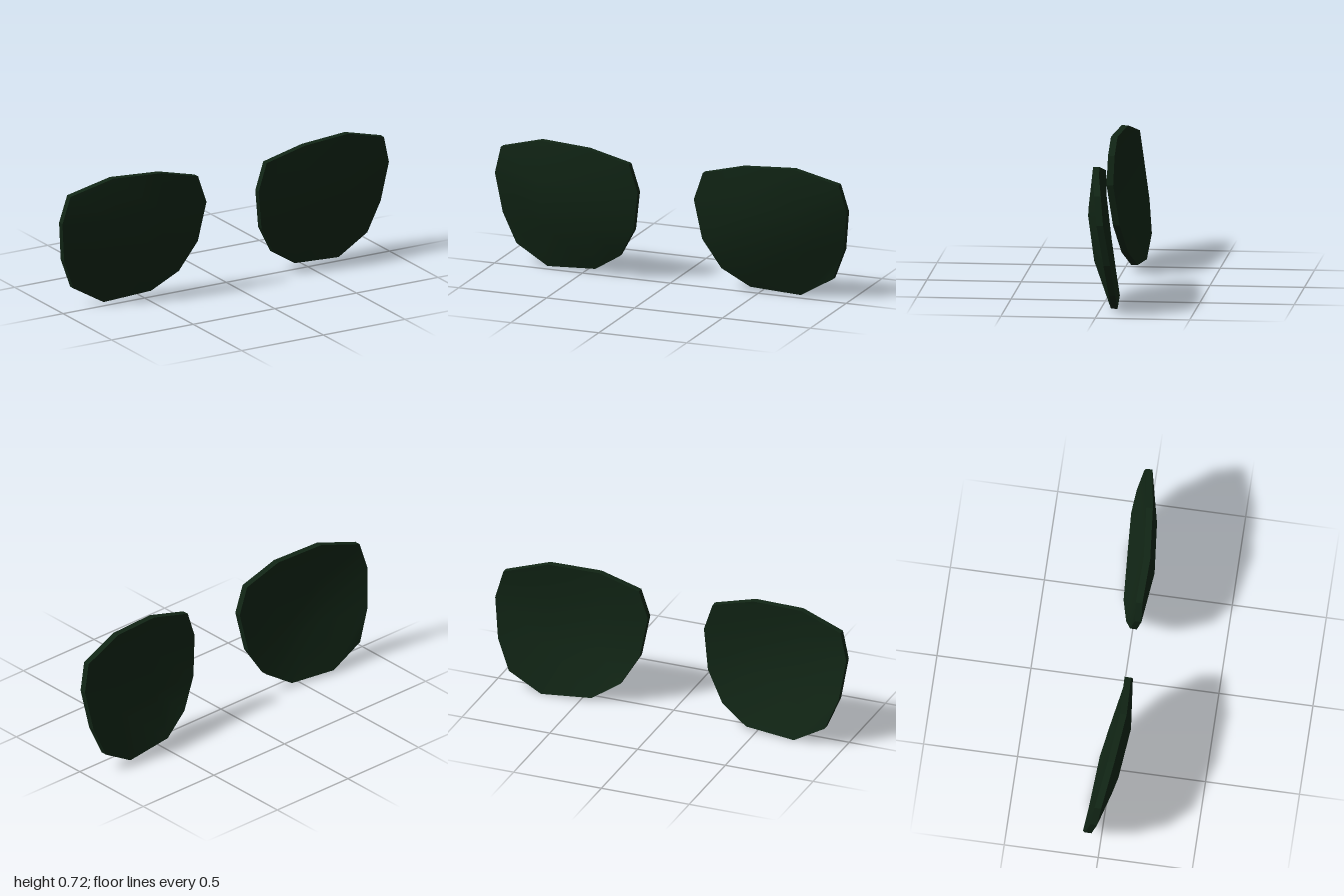
import * as THREE from 'three';

// Lens control grid, rows from top to bottom, inner to outer edge: [x, y, front z]
const GRID = [
  [[0.21, 0.65, 0.063], [0.44, 0.71, 0.072], [0.72, 0.72, 0.046], [0.96, 0.65, 0.01]],
  [[0.16, 0.5, 0.065], [0.44, 0.5, 0.095], [0.72, 0.5, 0.068], [1.0, 0.5, -0.006]],
  [[0.195, 0.28, 0.035], [0.44, 0.26, 0.065], [0.72, 0.26, 0.036], [0.97, 0.28, -0.04]],
  [[0.29, 0.12, 0], [0.44, 0.025, -0.035], [0.72, 0.005, -0.053], [0.9, 0.11, -0.06]],
];
const THICKNESS = 0.035;
const N = GRID.length;

function makeGeometry(points, index) {
  const geometry = new THREE.BufferGeometry();
  geometry.setAttribute('position', new THREE.Float32BufferAttribute(points.flat(), 3));
  geometry.setIndex(index);
  return geometry;
}

// Curved face of the lens, smooth across its grid
function sheet(side, dz, flip) {
  const points = GRID.flat().map(([x, y, z]) => [side * x, y, z + dz]);
  const index = [];
  for (let r = 0; r < N - 1; r++) {
    for (let c = 0; c < N - 1; c++) {
      const a = r * N + c, b = a + 1, d = a + N, e = d + 1;
      if (flip) index.push(a, b, d, b, e, d);
      else index.push(a, d, b, b, d, e);
    }
  }
  const geometry = makeGeometry(points, index);
  geometry.computeVertexNormals();
  return geometry;
}

// Faceted band joining the front and back outlines
function rim(side) {
  const last = N - 1;
  const outline = [];
  for (let i = 0; i < last; i++) outline.push(GRID[0][i]);
  for (let i = 0; i < last; i++) outline.push(GRID[i][last]);
  for (let i = last; i > 0; i--) outline.push(GRID[last][i]);
  for (let i = last; i > 0; i--) outline.push(GRID[i][0]);
  const points = [], index = [];
  outline.forEach(([x, y, z], i) => {
    points.push([side * x, y, z], [side * x, y, z - THICKNESS]);
    const a = 2 * i, b = a + 1, c = (a + 2) % (2 * outline.length), d = c + 1;
    if (side > 0) index.push(a, c, b, c, d, b);
    else index.push(a, b, c, c, b, d);
  });
  const geometry = makeGeometry(points, index).toNonIndexed();
  geometry.computeVertexNormals();
  return geometry;
}

export function createModel() {
  const model = new THREE.Group();
  model.name = 'sunglassLenses';
  const glass = new THREE.MeshStandardMaterial({ color: 0x112515 });

  for (const [side, name] of [[1, 'leftLens'], [-1, 'rightLens']]) {
    const lens = new THREE.Group();
    lens.name = name;
    const parts = {
      frontFace: sheet(side, 0, side < 0),
      backFace: sheet(side, -THICKNESS, side > 0),
      rim: rim(side),
    };
    for (const [part, geometry] of Object.entries(parts)) {
      const mesh = new THREE.Mesh(geometry, glass);
      mesh.name = part;
      lens.add(mesh);
    }
    model.add(lens);
  }
  return model;
}
